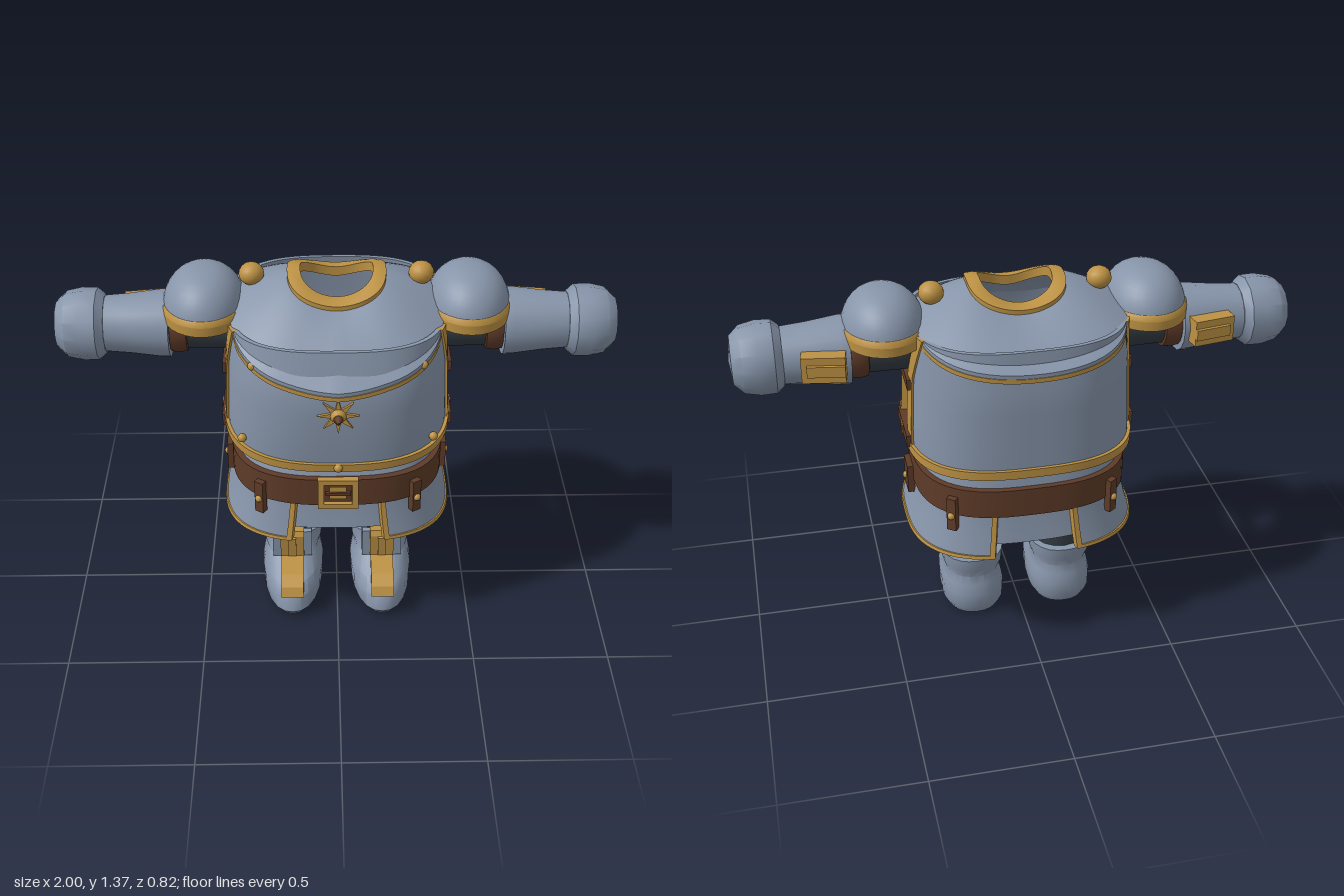
import * as THREE from 'three';
import { toCreasedNormals } from 'three/addons/utils/BufferGeometryUtils.js';

const PI = Math.PI, lerp = THREE.MathUtils.lerp;
const V = (x, y, z) => new THREE.Vector3(x, y, z);
const flat = pts => pts.map(p => new THREE.Vector2(...p));

const paint = (name, color) => {
  const m = new THREE.MeshStandardMaterial({ color, side: THREE.DoubleSide });
  m.name = name;
  return m;
};

// Point on a rounded-square ring; angle 0 is the front, +PI/2 the +x side
function ring(a, y, rx, front, back, zc = -0.03, n = 2.8) {
  const s = Math.sin(a), c = Math.cos(a);
  const r = (Math.abs(s) ** n + Math.abs(c) ** n) ** (-1 / n);
  return V(rx * r * s, y, zc + (c > 0 ? front : back) * r * c);
}

// Surface through a grid of points
function loft(rows) {
  const pos = [], idx = [], w = rows[0].length;
  rows.forEach(r => r.forEach(p => pos.push(p.x, p.y, p.z)));
  for (let i = 0; i < rows.length - 1; i++) for (let j = 0; j < w - 1; j++) {
    const a = i * w + j, b = a + w;
    idx.push(a, b, b + 1, a, b + 1, a + 1);
  }
  const g = new THREE.BufferGeometry();
  g.setAttribute('position', new THREE.Float32BufferAttribute(pos, 3));
  g.setIndex(idx);
  return toCreasedNormals(g, 0.7);
}

// Thick sheet following fn(u, v, offset), with closed rims
function shell(fn, u0, u1, v0, v1, off = 0, t = 0.015, nu = 40, nv = 10) {
  const row = (u, o) => {
    const r = [];
    for (let j = 0; j <= nv; j++) r.push(fn(u, lerp(v0, v1, j / nv), o));
    for (let j = nv; j >= 0; j--) r.push(fn(u, lerp(v0, v1, j / nv), off - t));
    r.push(r[0].clone());
    return r;
  };
  const rows = [row(u0, off - t)];
  for (let i = 0; i <= nu; i++) rows.push(row(lerp(u0, u1, i / nu), off));
  rows.push(row(u1, off - t));
  return loft(rows);
}

// Lathe given as [radius, height] pairs
const lathe = (pts, seg = 20) => toCreasedNormals(new THREE.LatheGeometry(flat(pts), seg), 0.6);

// Side profile given as [z, y] pairs, extruded across x
const sideProfile = (pts, width) =>
  new THREE.ExtrudeGeometry(new THREE.Shape(flat(pts)), { depth: width, bevelEnabled: false })
    .translate(0, 0, -width / 2).rotateY(-PI / 2);

// Surfaces of the armour
const cuirass = (y, a, off) => {
  const top = Math.max(0, y - 1.05);
  const bulge = 0.015 * Math.sin(PI * THREE.MathUtils.clamp((y - 0.72) / 0.5, 0, 1));
  return ring(a, y, 0.398 - 0.048 * Math.max(0, y - 0.85) + off,
    0.36 + bulge - top * 0.18 + off, 0.36 - top * 0.1 + off);
};
const breast = (u, v, off) => {
  const y = lerp(0.755 + 0.05 * u * u, 1.21, v);
  return cuirass(y, u * (1.354 - 1.3 * Math.max(0, y - 1.05)), off);
};
const backPlate = (u, v, off) => {
  const y = lerp(0.76, 1.23, v);
  return cuirass(y, PI + u * (1.377 - 1.3 * Math.max(0, y - 1.05)), off);
};
const mantle = (a, v, off) => {
  const c = Math.cos(a), d = 1 - v;
  const hem = 1.265 - (c > 0 ? 0.175 : 0.1) * Math.abs(c) ** 1.2;
  const neck = 1.285 + 0.06 * Math.sin(a) ** 2;
  const tip = 0.02 * Math.max(0, 1 - Math.abs(a > PI ? a - 2 * PI : a) * 2.5);
  return ring(a, lerp(neck, hem, Math.max(0, d) ** 1.35) + off, lerp(0.145, 0.375, d),
    lerp(0.13, 0.38 + tip, d), lerp(0.13, 0.38, d));
};
const waist = (a, v, off) => {
  const r = lerp(0.375, 0.36, v) + off;
  return ring(a, lerp(0.66, 0.76, v), r, r - 0.03 - 0.02 * v, r - 0.03);
};
const belt = (a, v, off) => ring(a, lerp(0.59, 0.7, v), 0.388 + off, 0.355 + off, 0.36 + off);
const skirt = (a, v, off) => {
  const f = Math.max(0, 1 - v) ** 1.4;
  return ring(a, lerp(0.43, 0.63, v), 0.372 + 0.045 * f + off, 0.335 + 0.025 * f + off, 0.35 + 0.03 * f + off);
};

export function createModel() {
  const root = new THREE.Group();
  root.name = 'armour';
  const steel = paint('steel', 0x8795aa), gold = paint('gold', 0xbc9143);
  const leather = paint('leather', 0x5e3b28), dark = paint('dark cloth', 0x343c43);

  const add = (parent, name, geo, mat, x = 0, y = 0, z = 0) => {
    const m = new THREE.Mesh(geo, mat);
    m.name = name;
    m.position.set(x, y, z);
    parent.add(m);
    return m;
  };
  const box = (w, h, d) => new THREE.BoxGeometry(w, h, d);
  const stud = (parent, p, r = 0.016) =>
    add(parent, 'stud', new THREE.SphereGeometry(r, 12, 8), gold, p.x, p.y, p.z);

  // Breastplate and back plate with gilded edges
  for (const [name, fn] of [['breastplate', breast], ['backPlate', backPlate]]) {
    add(root, name, shell(fn, -1, 1, 0, 1), steel);
    add(root, name + 'HemTrim', shell(fn, -1.01, 1.01, -0.01, 0.06, 0.012, 0.03, 40, 2), gold);
    for (const [p, q] of [[-1.01, -0.9], [0.9, 1.01]])
      add(root, name + 'SideTrim', shell(fn, p, q, 0, 1, 0.008, 0.026, 2, 14), gold);
  }
  for (const u of [-0.62, 0, 0.62]) stud(root, breast(u, u ? 0.14 : 0.03, 0.012));
  for (const u of [-0.6, 0.6]) stud(root, breast(u, 0.83, 0.005));

  // Sun ornament on the chest
  const star = new THREE.Shape();
  for (let i = 0; i < 16; i++) {
    const r = i % 2 ? 0.026 : 0.072, a = i * PI / 8;
    star[i ? 'lineTo' : 'moveTo'](r * Math.sin(a), r * Math.cos(a));
  }
  add(root, 'sunRays', new THREE.ExtrudeGeometry(star, { depth: 0.016, bevelEnabled: false }), gold, 0, 0.99, 0.338);
  add(root, 'sunHub', new THREE.CylinderGeometry(0.018, 0.03, 0.025, 12).rotateX(PI / 2), gold, 0, 0.99, 0.362);
  add(root, 'sunSpike', new THREE.ConeGeometry(0.017, 0.04, 8).rotateX(PI / 2), leather, 0, 0.99, 0.392);

  // Shoulder mantle with neck opening
  add(root, 'mantle', shell(mantle, 0, 2 * PI, 0, 1, 0, 0.018, 72, 12), steel);
  add(root, 'mantleHemTrim', shell(mantle, 0, 2 * PI, -0.005, 0.1, -0.014, 0.016, 72, 2), gold);
  add(root, 'neckTrim', shell(mantle, 0, 2 * PI, 0.88, 1.08, 0.016, 0.035, 64, 3), gold);

  // Waist plates, belt and buckle
  for (const c of [0, PI])
    add(root, 'waistPlate', shell(waist, c - 1.48, c + 1.48, 0, 1, 0, 0.012, 40, 3), steel);
  add(root, 'belt', shell(belt, 0, 2 * PI, 0, 1, 0, 0.03, 72, 2), leather);
  const frame = new THREE.Shape(flat([[-0.072, -0.062], [0.072, -0.062], [0.072, 0.062], [-0.072, 0.062]]));
  frame.holes.push(new THREE.Path(flat([[-0.05, -0.042], [-0.05, 0.042], [0.05, 0.042], [0.05, -0.042]])));
  add(root, 'buckleFrame', new THREE.ExtrudeGeometry(frame, { depth: 0.025, bevelEnabled: false }), gold, 0, 0.648, 0.318);
  add(root, 'bucklePlate', box(0.06, 0.05, 0.012), gold, 0, 0.648, 0.326);
  add(root, 'buckleTongue', box(0.09, 0.012, 0.012), leather, 0, 0.648, 0.334);

  // Cloth hips
  add(root, 'hips', lathe([[0, 0.4], [0.2, 0.405], [0.26, 0.43], [0.3, 0.5], [0.3, 0.57], [0, 0.6]], 32), dark, 0, 0, -0.04)
    .scale.z = 0.72;

  // Centre tabs behind the skirt notches
  for (const c of [0, PI])
    add(root, 'skirtTab', shell(skirt, c - 0.5, c + 0.5, 0.2, 1, -0.02, 0.012, 16, 4), steel);

  // Everything that is mirrored is made once on the +x side
  const side = new THREE.Group();
  side.name = 'leftSide';

  // Skirt panel with gilded hem and notch edges
  const a0 = 0.4, a1 = PI - 0.36;
  add(side, 'skirtPanel', shell(skirt, a0, a1, 0, 1, 0, 0.012, 40, 6), steel);
  add(side, 'skirtHemTrim', shell(skirt, a0, a1, -0.01, 0.05, 0.005, 0.022, 40, 1), gold);
  for (const [p, q] of [[a0 - 0.01, a0 + 0.035], [a1 - 0.035, a1 + 0.01]])
    add(side, 'skirtNotchTrim', shell(skirt, p, q, 0, 0.9, 0.006, 0.022, 2, 6), gold);

  // Belt hangers with studs
  for (const [a, w, h, y] of [[0.69, 0.035, 0.13, 0.6], [PI / 2, 0.09, 0.11, 0.59], [PI - 0.72, 0.035, 0.13, 0.6]]) {
    const p = belt(a, 0, 0.008), t = belt(a + 0.02, 0, 0).sub(belt(a - 0.02, 0, 0));
    const hanger = new THREE.Group();
    hanger.name = 'beltHanger';
    hanger.position.set(p.x, y, p.z);
    hanger.rotation.y = Math.atan2(-t.z, t.x);
    add(hanger, 'hangerStrap', box(w, h, 0.026), leather);
    stud(hanger, V(0, -0.005, 0.012), 0.014);
    side.add(hanger);
  }

  // Straps joining the two body plates
  add(side, 'lowerStrap', box(0.03, 0.045, 0.225), leather, 0.4, 0.797, -0.033);
  add(side, 'strapBuckle', box(0.012, 0.035, 0.045), gold, 0.413, 0.797, -0.033);
  add(side, 'strapBuckleInset', box(0.006, 0.016, 0.026), leather, 0.418, 0.797, -0.033);
  add(side, 'upperStrap', box(0.03, 0.04, 0.225), leather, 0.39, 1.022, -0.027);

  // Mantle stud
  add(side, 'shoulderStud', new THREE.SphereGeometry(0.045, 16, 10), gold, 0.297, 1.325, -0.05).scale.y = 0.9;

  // Pauldron dome with gilded rim
  const dome = [];
  for (let i = 0; i <= 10; i++) {
    const t = i / 10 * PI / 2;
    dome.push([Math.max(0, Math.cos(t)) ** 0.85, Math.sin(t) ** 0.95]);
  }
  add(side, 'pauldron', lathe(dome, 32), steel, 0.465, 1.2, -0.04).scale.set(0.148, 0.157, 0.186);
  add(side, 'pauldronRim', lathe([[0.96, -0.02], [1.03, -0.02], [1.035, 0.015], [1.0, 0.035], [0.96, 0.035]], 32),
    gold, 0.465, 1.205, -0.04).scale.set(0.148, 1, 0.186);

  // Arm pieces turned about the x axis, profiles as [radius, x]
  const turned = (name, pts, mat, seg) =>
    add(side, name, lathe(pts, seg).rotateZ(-PI / 2), mat, 0, 1.135, -0.04);
  turned('sleeve', [[0, 0.36], [0.09, 0.36], [0.088, 0.62], [0, 0.62]], dark);
  turned('armBand', [[0.08, 0.525], [0.1, 0.53], [0.105, 0.56], [0.1, 0.588], [0.08, 0.59]], leather);
  turned('gauntletCuff', [[0.07, 0.59], [0.122, 0.59], [0.122, 0.62], [0.108, 0.73], [0.1, 0.83], [0, 0.83]], steel, 16);
  turned('fist', [[0, 0.815], [0.105, 0.818], [0.128, 0.845], [0.13, 0.9], [0.118, 0.955], [0.085, 0.99], [0, 1]], steel, 12);
  add(side, 'gauntletPlate', box(0.15, 0.095, 0.055), gold, 0.685, 1.14, -0.164).rotation.y = -0.16;
  add(side, 'gauntletRidge', box(0.13, 0.04, 0.02), gold, 0.68, 1.14, -0.195).rotation.y = -0.16;

  // Leg with knee band
  const lx = 0.172;
  add(side, 'leg', new THREE.CylinderGeometry(0.105, 0.1, 0.26, 16), dark, lx, 0.34, -0.04);
  add(side, 'kneeBand', lathe([[0.09, 0.32], [0.113, 0.322], [0.12, 0.335], [0.12, 0.375], [0.113, 0.388], [0.09, 0.39]], 24),
    leather, lx, 0, -0.037);

  // Boot from stacked sections: y, half width, reach to the front and to the back
  const sections = [[0, 0, 0, 0], [0, 0.098, 0.28, 0.118], [0.03, 0.116, 0.305, 0.132], [0.09, 0.118, 0.295, 0.132],
    [0.13, 0.111, 0.255, 0.123], [0.165, 0.102, 0.15, 0.112], [0.2, 0.113, 0.105, 0.125],
    [0.25, 0.117, 0.1, 0.13], [0.25, 0, 0, 0]];
  const bootRows = [];
  for (let i = 0; i <= 24; i++)
    bootRows.push(sections.map(([y, w, f, b]) => ring(i * PI / 12, y, w, f, b, -0.04, 2.3)));
  add(side, 'boot', loft(bootRows), steel, lx);
  add(side, 'bootTongue', sideProfile([[0.02, 0.17], [0.095, 0.17], [0.1, 0.29], [0.085, 0.295], [0.03, 0.255]], 0.15), steel, lx);
  add(side, 'shinPlate', sideProfile([[0.06, 0.17], [0.11, 0.18], [0.12, 0.28], [0.11, 0.3], [0.07, 0.3]], 0.09), gold, lx);
  add(side, 'shinRidge', sideProfile([[0.1, 0.18], [0.118, 0.185], [0.128, 0.275], [0.1, 0.285]], 0.03), gold, lx);
  add(side, 'toePlate', sideProfile([[0.09, 0.14], [0.2, 0.11], [0.24, 0.09], [0.262, 0.1], [0.245, 0.135], [0.2, 0.162], [0.09, 0.187]], 0.085), gold, lx);

  const other = side.clone();
  other.name = 'rightSide';
  other.scale.x = -1;
  root.add(side, other);
  return root;
}
